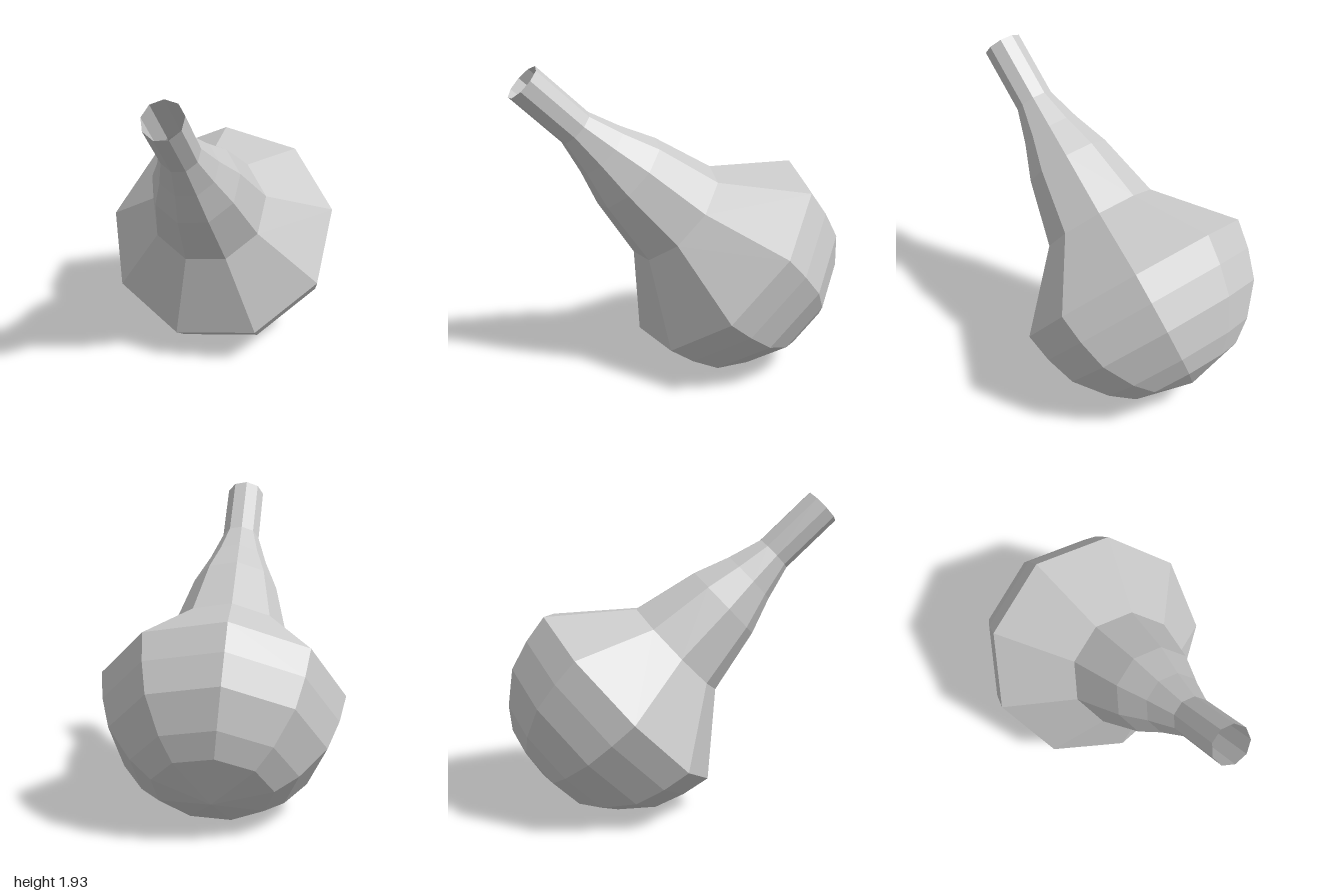
import * as THREE from 'three';

const SIDES = 9;
const PHASE = THREE.MathUtils.degToRad(28.5);

// Profiles as [radius, distance along the axis], measured from the widest ring
const BULB = [[0, -0.72], [0.348, -0.635], [0.48, -0.537], [0.63, -0.357], [0.692, -0.176], [0.725, 0]];
const SHOULDER = [[0.725, 0], [0.356, 0.42]];
const NECK = [[0.356, 0.42], [0.263, 0.822], [0.18, 1.04], [0.118, 1.25], [0.118, 1.659]];

const material = new THREE.MeshStandardMaterial({
  color: 0xcccccc, flatShading: true, side: THREE.DoubleSide,
});

function turned(name, profile) {
  const points = profile.map(([r, h]) => new THREE.Vector2(r, h));
  const mesh = new THREE.Mesh(new THREE.LatheGeometry(points, SIDES, PHASE), material);
  mesh.name = name;
  return mesh;
}

export function createModel() {
  const group = new THREE.Group();
  group.name = 'bulbFlask';

  // Rounded closed bulb, sloping shoulder and a hollow neck open at the tip
  group.add(turned('bulb', BULB), turned('shoulder', SHOULDER), turned('neck', NECK));

  // Lean the whole vessel forward so the neck points up and to the front
  const vessel = new THREE.Group();
  vessel.name = 'vessel';
  group.rotation.set(0.813, 0, -0.022);
  group.position.set(0.019, 0.715, -0.285);
  vessel.add(group);
  return vessel;
}
